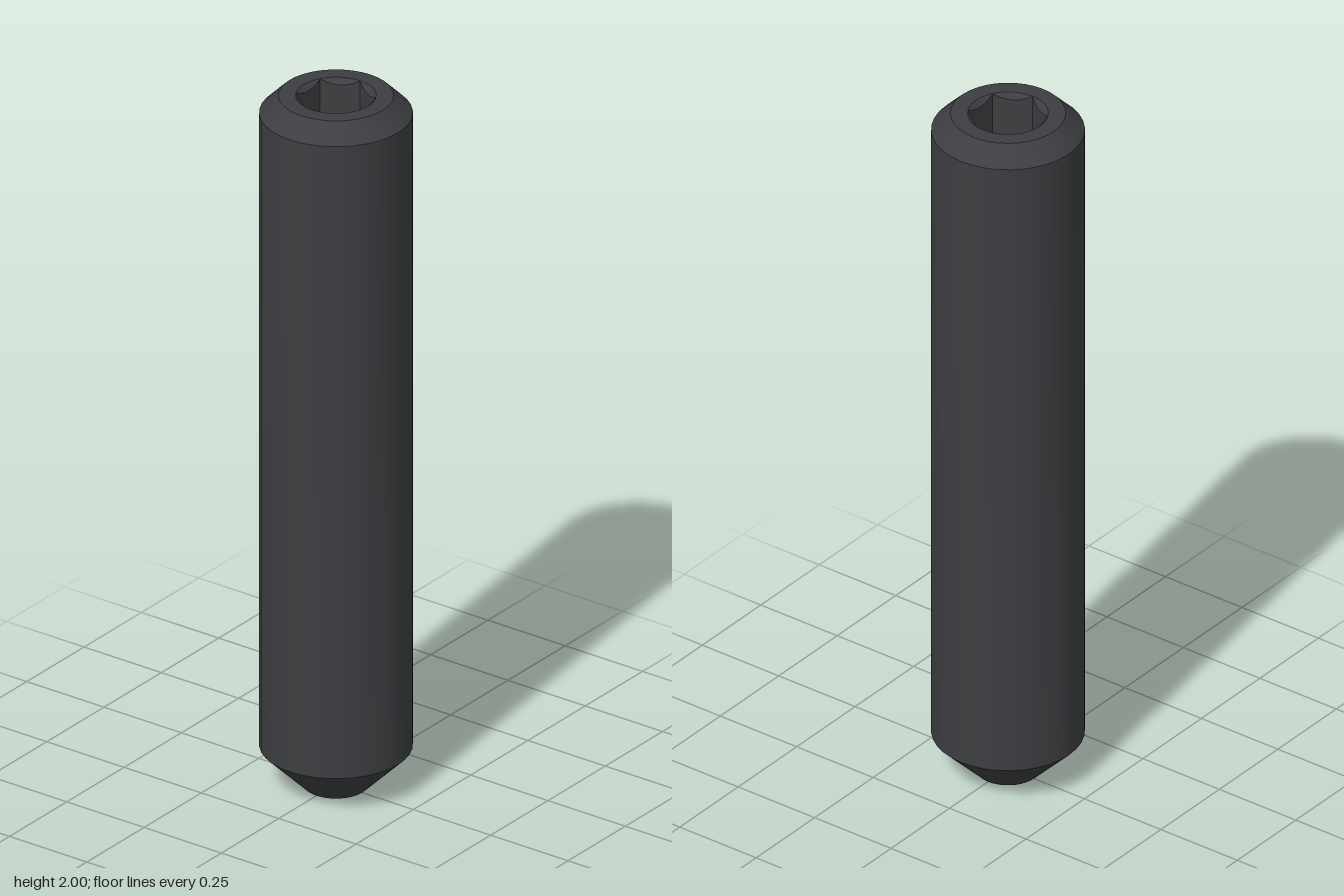
import * as THREE from 'three';
import { toCreasedNormals } from 'three/addons/utils/BufferGeometryUtils.js';

const SEGMENTS = 36;
const CREASE = Math.PI / 7;
const TOP = 2;
const RIM = 0.105; // socket mouth radius
const FLAT = 0.09; // socket centre to flat
const FLOOR = 1.76; // socket bottom

const lathe = (profile) =>
  new THREE.LatheGeometry(profile.map(([r, y]) => new THREE.Vector2(r, y)), SEGMENTS);

// Distance from the axis to a hexagon with corners on the x axis
function hexRadius(angle) {
  const sector = Math.PI / 3;
  const a = ((angle % sector) + sector) % sector;
  return FLAT / Math.cos(a - sector / 2);
}

// Hexagonal socket: a turned recess whose wall is pulled onto a hexagon,
// so the 45 degree mouth chamfer meets each flat in a scallop
function socketGeometry() {
  const geometry = lathe([[RIM, TOP], [FLAT, TOP - 0.01], [FLAT, FLOOR], [0, FLOOR]]);
  const pos = geometry.attributes.position;
  for (let i = 0; i < pos.count; i++) {
    const ring = i % 4;
    if (ring !== 1 && ring !== 2) continue;
    const angle = Math.atan2(pos.getZ(i), pos.getX(i));
    const r = hexRadius(angle);
    const y = ring === 1 ? TOP - (RIM - r) : FLOOR;
    pos.setXYZ(i, r * Math.cos(angle), y, r * Math.sin(angle));
  }
  return geometry;
}

export function createModel() {
  const group = new THREE.Group();
  group.name = 'setScrew';
  const material = new THREE.MeshStandardMaterial({ color: 0x3c3e41 });

  const add = (name, geometry) => {
    const mesh = new THREE.Mesh(toCreasedNormals(geometry, CREASE), material);
    mesh.name = name;
    group.add(mesh);
  };

  // Hollow cup, tapered point, shank, top chamfer and top face
  add('shank', lathe([
    [0, 0.05], [0.085, 0], [0.2, 0.115], [0.2, 1.95], [0.15, TOP], [RIM, TOP],
  ]));
  add('hexSocket', socketGeometry());

  return group;
}
